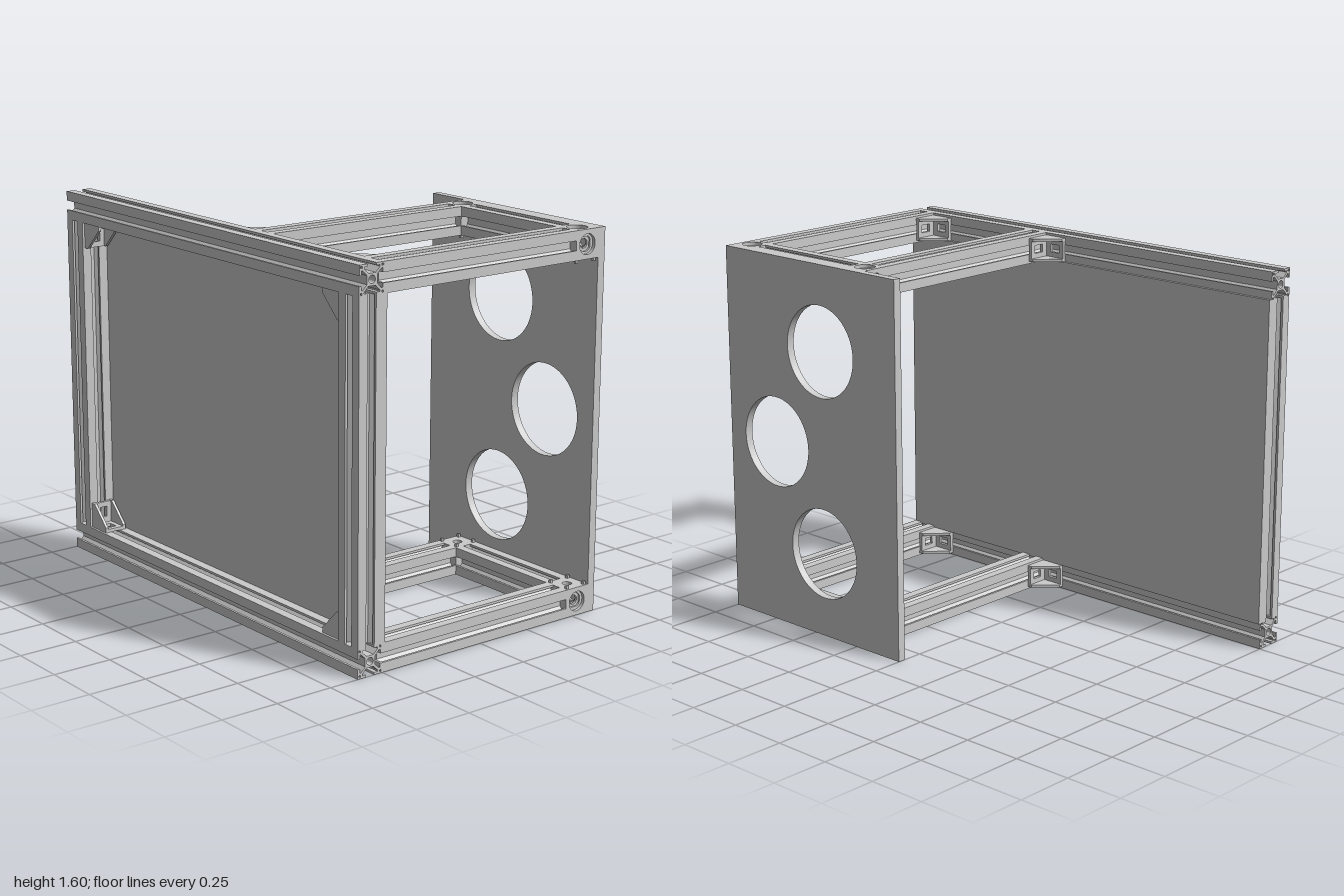
import * as THREE from 'three';
import { toCreasedNormals } from 'three/addons/utils/BufferGeometryUtils.js';

const material = new THREE.MeshStandardMaterial({ color: 0xcccccc });
const W = 0.12, H = W / 2; // profile width and half width
const Q = Math.PI / 2;

function polygon(points, Type = THREE.Shape) {
  return new Type(points.map(([x, y]) => new THREE.Vector2(x, y)));
}

function rect(w, h, Type = THREE.Shape, cx = 0, cy = 0) {
  return polygon([[cx - w / 2, cy - h / 2], [cx + w / 2, cy - h / 2],
    [cx + w / 2, cy + h / 2], [cx - w / 2, cy + h / 2]], Type);
}

function circle(x, y, r) {
  return new THREE.Path().absarc(x, y, r, 0, Math.PI * 2, true);
}

function extrude(shape, depth, z = 0, curveSegments = 20) {
  const geo = new THREE.ExtrudeGeometry(shape, { depth, bevelEnabled: false, curveSegments });
  return toCreasedNormals(geo.translate(0, 0, z), 0.6);
}

function add(parent, name, geo, position = [0, 0, 0], rotation = [0, 0, 0]) {
  const mesh = new THREE.Mesh(geo, material);
  mesh.name = name;
  mesh.position.set(...position);
  mesh.rotation.set(...rotation);
  parent.add(mesh);
  return mesh;
}

// T-slot cross-section: one side repeated four times
function slotProfile() {
  const side = [[H, H], [0.02, H], [0.02, 0.05], [0.037, 0.05], [0.037, 0.044], [0.017, 0.024],
    [-0.017, 0.024], [-0.037, 0.044], [-0.037, 0.05], [-0.02, 0.05], [-0.02, H]];
  const points = [];
  for (let k = 0; k < 4; k++) {
    const c = Math.round(Math.cos(k * Q)), s = Math.round(Math.sin(k * Q));
    for (const [x, y] of side) points.push([x * c - y * s, x * s + y * c]);
  }
  const shape = polygon(points);
  shape.holes.push(circle(0, 0, 0.016));
  for (const x of [-1, 1]) for (const y of [-1, 1]) {
    shape.holes.push(rect(0.008, 0.008, THREE.Path, x * 0.05, y * 0.05));
  }
  return shape;
}

const railTurn = { x: [0, Q, 0], y: [-Q, 0, 0], z: [0, 0, 0] };
function addRail(parent, name, axis, length, position) {
  add(parent, name, extrude(slotProfile(), length, -length / 2, 6), position, railTurn[axis]);
}

// Corner bracket: two slotted legs along +x and +y, two cheeks
function addBracket(parent, position, rotation) {
  const g = new THREE.Group();
  g.name = 'cornerBracket';
  const L = 0.11, width = 0.1, t = 0.014;
  const cheek = polygon([[0, 0], [L, 0], [L, 0.022], [0.022, L], [0, L]]);
  for (const z of [-width / 2, width / 2 - 0.012]) add(g, 'bracketCheek', extrude(cheek, 0.012, z));
  const leg = rect(width - 0.002, L - 0.002);
  leg.holes.push(rect(0.034, 0.046, THREE.Path, 0, 0.008));
  const legGeo = extrude(leg, t);
  add(g, 'bracketLeg', legGeo, [0, L / 2, 0], [0, Q, 0]);
  add(g, 'bracketLeg', legGeo, [L / 2, t, 0], [Q, 0, -Q]);
  g.position.set(...position);
  g.rotation.set(...rotation);
  parent.add(g);
}

// Corner cube: counterbored outer faces, plain bored inner faces, locating pins
function addConnector(parent, x, y, sx, sy) {
  const g = new THREE.Group();
  g.name = 'cornerConnector';
  const bored = (size, r, depth, top) => {
    const s = rect(size, size);
    s.holes.push(circle(0, 0, r));
    return extrude(s, depth, top - depth);
  };
  const outer = bored(W, 0.042, 0.014, H);
  const step = bored(0.092, 0.032, 0.008, H - 0.014);
  const seat = bored(0.092, 0.02, 0.01, H - 0.022);
  const plain = bored(W, 0.02, 0.014, H);
  const faces = [
    [[0, sx * Q, 0], true], [[0, -sx * Q, 0], false],
    [[-sy * Q, 0, 0], true], [[sy * Q, 0, 0], false],
    [[0, Math.PI, 0], true], [[0, 0, 0], false],
  ];
  for (const [turn, open] of faces) {
    add(g, 'connectorFace', open ? outer : plain, [0, 0, 0], turn);
    if (open) {
      add(g, 'connectorStep', step, [0, 0, 0], turn);
      add(g, 'connectorSeat', seat, [0, 0, 0], turn);
    }
  }
  const pin = new THREE.BoxGeometry(0.012, 0.014, 0.012);
  for (const px of [-1, 1]) for (const pz of [-1, 1]) {
    add(g, 'connectorPin', pin, [px * 0.047, -sy * (H + 0.006), pz * 0.047]);
  }
  g.position.set(x, y, -0.525);
  parent.add(g);
}

export function createModel() {
  const model = new THREE.Group();
  model.name = 'profileFrame';
  const zFront = 0.56, yLow = H, yHigh = 1.6 - H;

  // Front frame
  for (const y of [yLow, yHigh]) addRail(model, 'frontRail', 'x', 2, [0, y, zFront]);
  for (const x of [-0.94, 0.94]) addRail(model, 'frontPost', 'y', 1.36, [x, 0.8, zFront]);
  [[-0.88, 0.12], [0.88, 0.12], [0.88, 1.48], [-0.88, 1.48]].forEach(([x, y], k) => {
    addBracket(model, [x, y, zFront], [0, 0, k * Q]);
  });

  // Thin panel behind the front frame
  add(model, 'frontPanel', new THREE.BoxGeometry(2, 1.375, 0.012), [0, 0.8, 0.494]);

  // Upper and lower rear arms
  for (const [y, sy] of [[yLow, -1], [yHigh, 1]]) {
    for (const [x, sx] of [[0.26, -1], [0.94, 1]]) {
      addRail(model, 'sideRail', 'z', 0.965, [x, y, 0.0175]);
      addConnector(model, x, y, sx, sy);
      addBracket(model, [x - H, y, 0.5], [-Q, 0, Q]);
    }
    addRail(model, 'rearRail', 'x', 0.56, [0.6, y, -0.525]);
  }

  // Back plate with three round openings
  const plate = rect(1, 1.6, THREE.Shape, 0.5, 0.8);
  for (const [x, y] of [[0.436, 1.235], [0.714, 0.8], [0.436, 0.365]]) {
    plate.holes.push(circle(x, y, 0.195));
  }
  add(model, 'backPlate', extrude(plate, 0.035, -0.62, 48));

  return model;
}
